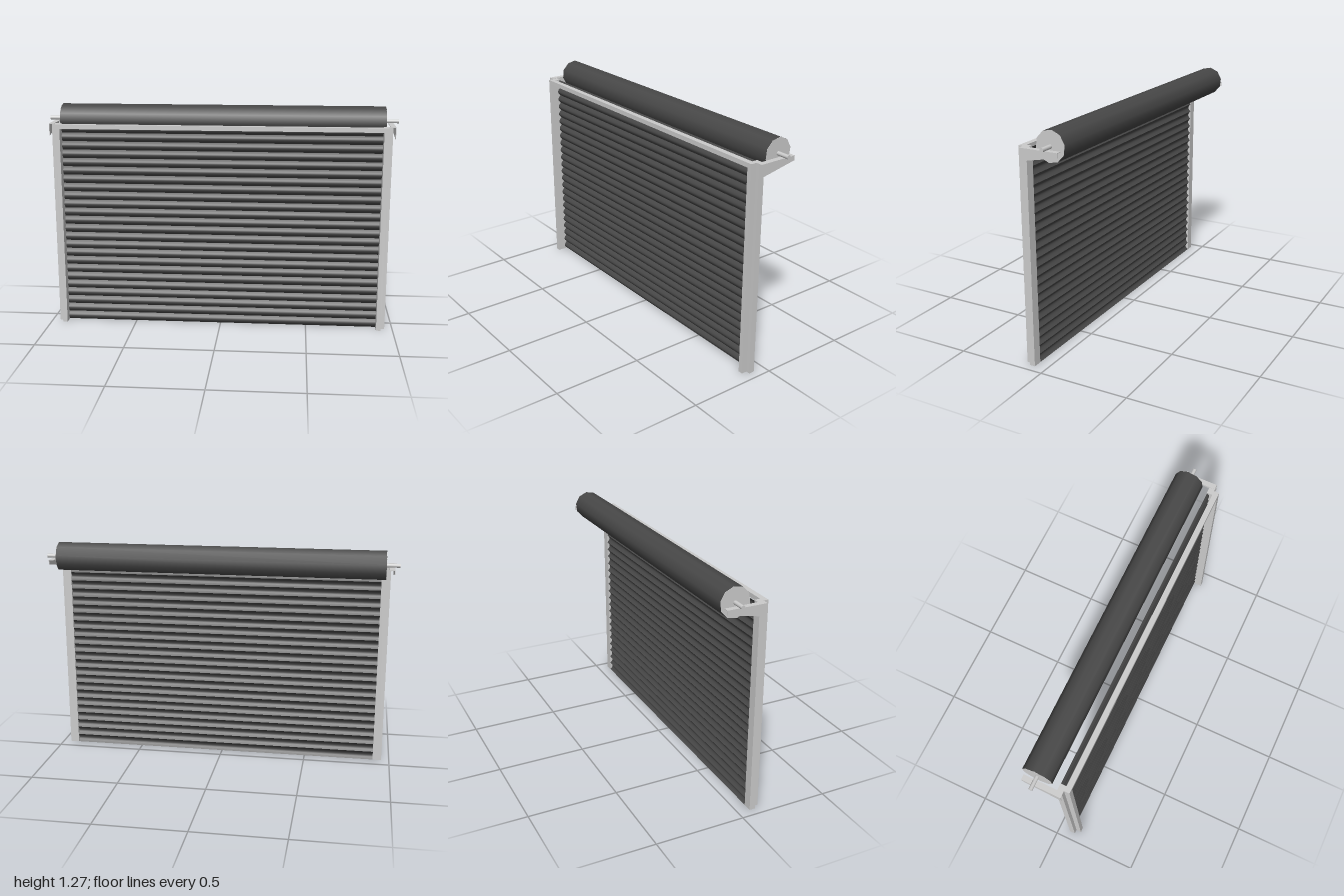
import * as THREE from 'three';

export function createModel() {
  const model = new THREE.Group();
  const grey = new THREE.MeshStandardMaterial({ color: 0xcccccc });
  const greyThin = new THREE.MeshStandardMaterial({ color: 0xcccccc, side: THREE.DoubleSide });
  const dark = new THREE.MeshStandardMaterial({ color: 0x484848, side: THREE.DoubleSide });

  function add(name, geometry, material, x = 0, y = 0, z = 0, parent = model) {
    const mesh = new THREE.Mesh(geometry, material);
    mesh.name = name;
    mesh.position.set(x, y, z);
    parent.add(mesh);
    return mesh;
  }
  const polygon = (points) => new THREE.Shape(points.map(([x, y]) => new THREE.Vector2(x, y)));

  // Curtain: a stack of thin slats, each bowed towards the front
  const curtain = new THREE.Group();
  curtain.name = 'curtain';
  model.add(curtain);
  const slatCount = 24, slatHeight = 1.17 / slatCount;
  const slat = new THREE.PlaneGeometry(1.81, slatHeight, 1, 8);
  const pos = slat.attributes.position;
  for (let i = 0; i < pos.count; i++) {
    pos.setZ(i, 0.016 * Math.cos((pos.getY(i) / slatHeight) * Math.PI));
  }
  slat.computeVertexNormals();
  for (let i = 0; i < slatCount; i++) {
    add('slat', slat, dark, 0, (i + 0.5) * slatHeight, 0.069, curtain);
  }

  // Stepped side guides, extruded upwards from their floor plan
  for (const side of [-1, 1]) {
    const plan = [[0.905, 0.068], [0.955, 0.068], [0.955, 0.1], [0.932, 0.1], [0.932, 0.13], [0.905, 0.13]]
      .map(([x, z]) => [side * x, -z]);
    const guide = new THREE.ExtrudeGeometry(polygon(plan), { depth: 1.175, bevelEnabled: false });
    guide.rotateX(-Math.PI / 2);
    add(side > 0 ? 'leftGuide' : 'rightGuide', guide, grey);
  }

  // Head rail joining the guides at the front
  add('headRail', new THREE.BoxGeometry(1.82, 0.025, 0.03), grey, 0, 1.1625, 0.115);

  // Roller drum with pale end plates, and the shaft through it
  const rollY = 1.19, rollZ = -0.05, sides = 10;
  const turn = THREE.MathUtils.degToRad(11);
  const drum = new THREE.CylinderGeometry(0.083, 0.083, 1.85, sides, 1, true, turn);
  drum.rotateZ(-Math.PI / 2);
  add('drum', drum, dark, 0, rollY, rollZ);
  for (const side of [-1, 1]) {
    const plate = new THREE.CylinderGeometry(0.083, 0.083, 0.002, sides, 1, false, turn);
    plate.rotateZ(-Math.PI / 2);
    add('drumEnd', plate, grey, side * 0.925, rollY, rollZ);
  }
  const shaft = new THREE.CylinderGeometry(0.011, 0.011, 2, 12);
  shaft.rotateZ(Math.PI / 2);
  add('shaft', shaft, grey, 0, rollY, rollZ);

  // Brackets: a tapered upright web with a flat flange along its top
  const web = new THREE.ExtrudeGeometry(
    polygon([[-0.1, 1.108], [0.118, 1.152], [0.118, 1.175], [-0.1, 1.175]]),
    { depth: 0.003, bevelEnabled: false });
  web.rotateY(Math.PI / 2);
  const flange = new THREE.BoxGeometry(0.03, 0.003, 0.218);
  for (const side of [-1, 1]) {
    const bracket = new THREE.Group();
    bracket.name = side > 0 ? 'leftBracket' : 'rightBracket';
    model.add(bracket);
    add('web', web, greyThin, side * 0.97 - 0.0015, 0, 0, bracket);
    add('flange', flange, grey, side * 0.957, 1.1755, -0.009, bracket);
  }

  return model;
}
